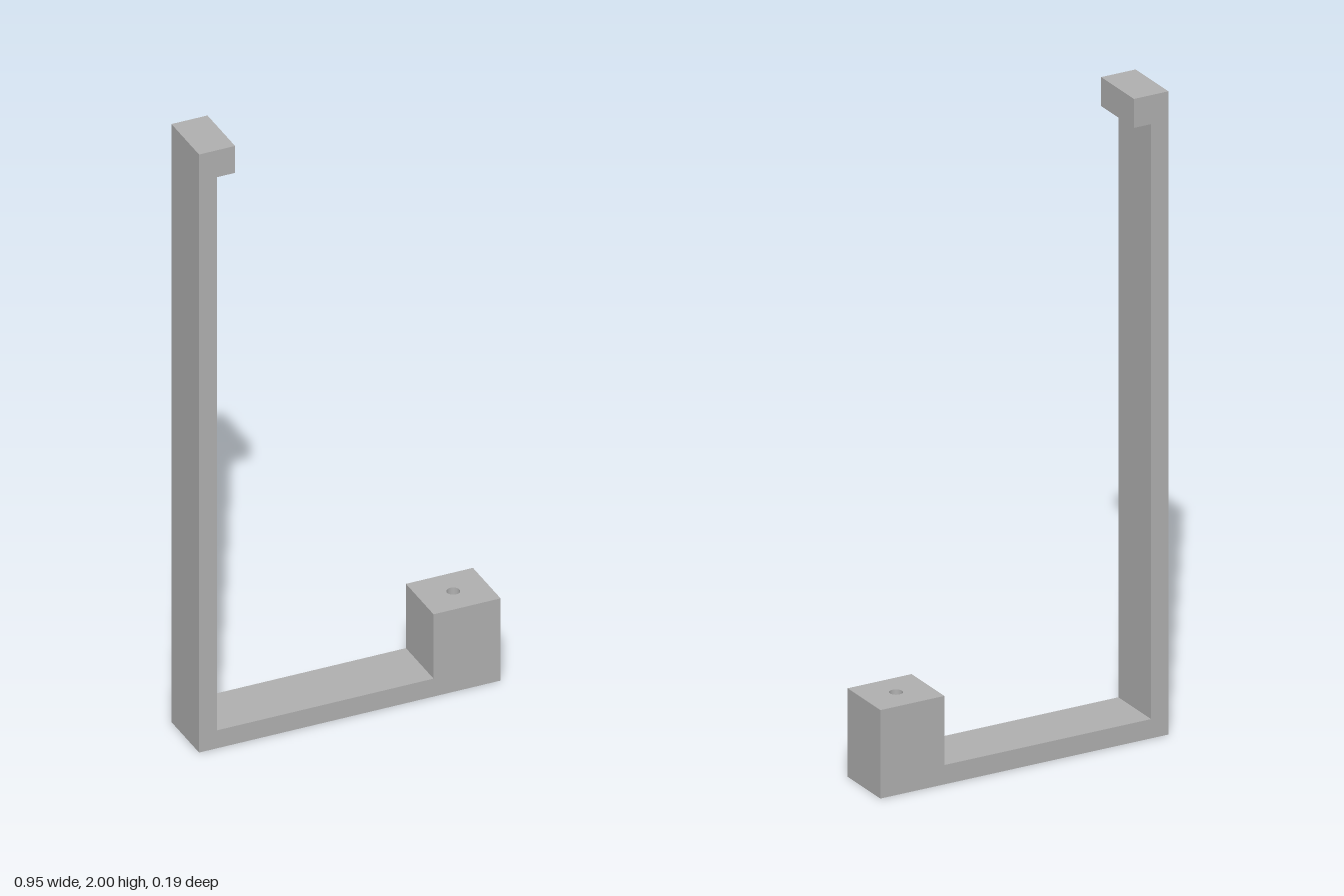
import * as THREE from 'three';

const HALF_LENGTH = 0.477, HALF_WIDTH = 0.094;
const BLOCK_X = 0.265, BLOCK_HEIGHT = 0.275;

export function createModel() {
  const group = new THREE.Group();
  group.name = 'hookBracket';
  const grey = new THREE.MeshStandardMaterial({ color: 0xb0b0b0 });
  grey.name = 'grey';

  const add = (name, geometry) => {
    const mesh = new THREE.Mesh(geometry, grey);
    mesh.name = name;
    group.add(mesh);
  };

  // Upright with a top lip and a flat foot, as one side profile
  const profile = new THREE.Shape([
    [-HALF_LENGTH, 0], [BLOCK_X, 0], [BLOCK_X, 0.06], [-0.42, 0.06],
    [-0.42, 1.91], [-0.363, 1.91], [-0.363, 2], [-HALF_LENGTH, 2],
  ].map(([x, y]) => new THREE.Vector2(x, y)));
  const bracket = new THREE.ExtrudeGeometry(profile, { depth: HALF_WIDTH * 2, bevelEnabled: false });
  bracket.translate(0, 0, -HALF_WIDTH);
  add('bracket', bracket);

  // End block with a vertical screw hole through it
  const plan = new THREE.Shape([
    [BLOCK_X, -HALF_WIDTH], [HALF_LENGTH, -HALF_WIDTH],
    [HALF_LENGTH, HALF_WIDTH], [BLOCK_X, HALF_WIDTH],
  ].map(([x, y]) => new THREE.Vector2(x, y)));
  plan.holes.push(new THREE.Path().absarc(0.371, 0, 0.02, 0, Math.PI * 2, true));
  const block = new THREE.ExtrudeGeometry(plan, { depth: BLOCK_HEIGHT, bevelEnabled: false, curveSegments: 32 });
  block.rotateX(-Math.PI / 2);
  add('endBlock', block);

  return group;
}
